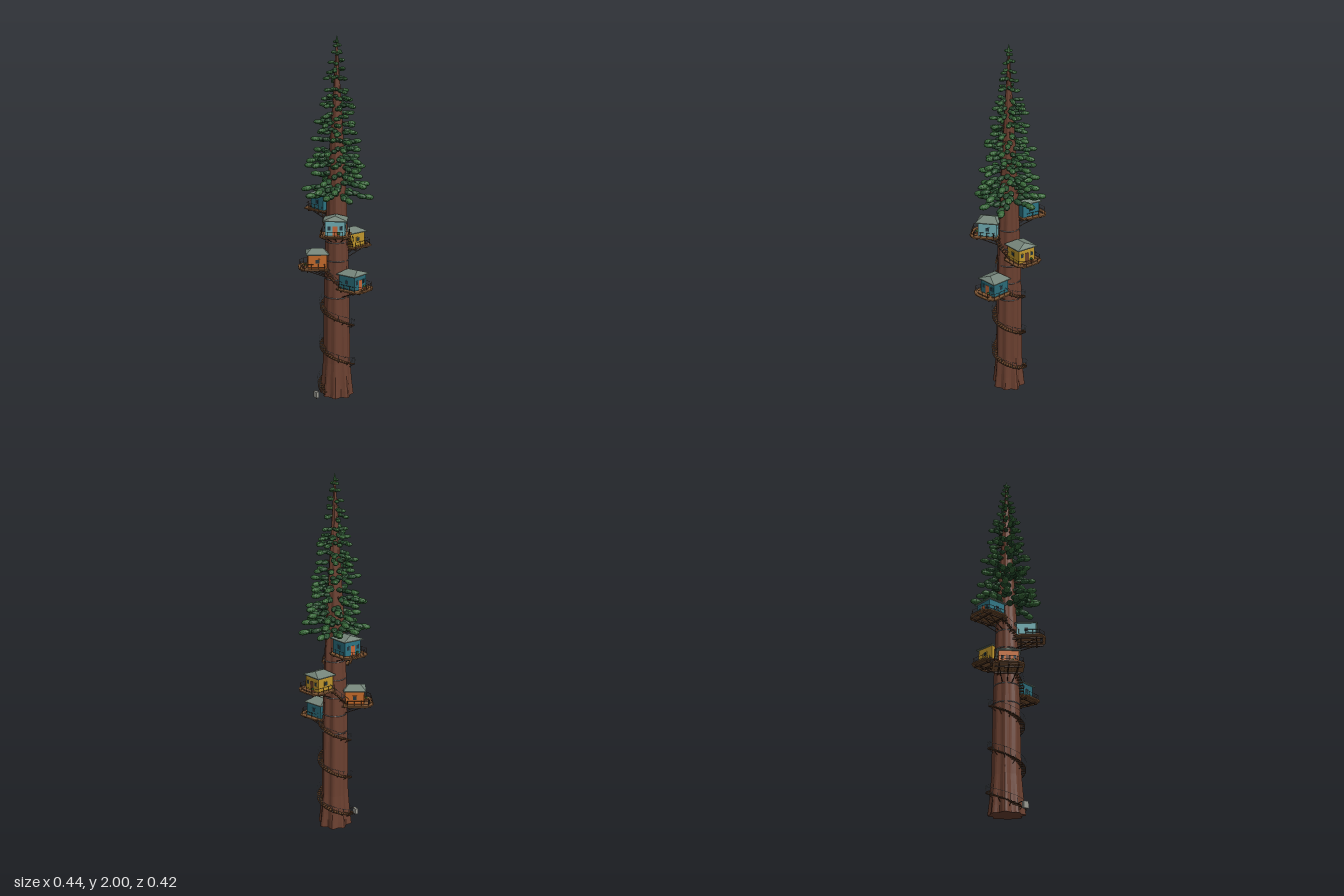
import * as THREE from 'three';
import { mergeGeometries } from 'three/addons/utils/BufferGeometryUtils.js';

const V = (x, y, z) => new THREE.Vector3(x, y, z);
const WOOD = 0x7d5533, DARK = 0x4a3222, METAL = 0x6d7478;

// small seeded generator
let seed = 7;
const rnd = (a, b) => {
  seed = (seed * 16807) % 2147483647;
  return a + (b - a) * seed / 2147483647;
};

// join geometries of one colour into one named mesh
function part(name, color, geos) {
  const flat = geos.map(g => (g.index ? g.toNonIndexed() : g));
  const mat = new THREE.MeshStandardMaterial({ color, flatShading: true, side: THREE.DoubleSide });
  const mesh = new THREE.Mesh(mergeGeometries(flat), mat);
  mesh.name = name;
  return mesh;
}
const box = (w, h, d, x, y, z) => new THREE.BoxGeometry(w, h, d).translate(x, y, z);

function rod(a, b, r, sides = 5, rTop = r) {
  const d = b.clone().sub(a);
  const q = new THREE.Quaternion().setFromUnitVectors(V(0, 1, 0), d.clone().normalize());
  const m = a.clone().add(b).multiplyScalar(0.5);
  return new THREE.CylinderGeometry(rTop, r, d.length(), sides).applyQuaternion(q).translate(m.x, m.y, m.z);
}

// trunk radius by height
const PROFILE = [[0, 0.088], [0.08, 0.081], [0.2, 0.073], [0.6, 0.068], [0.9, 0.06],
  [1.2, 0.049], [1.5, 0.032], [1.8, 0.014], [2, 0.002]];
function trunkR(y) {
  const i = Math.max(1, PROFILE.findIndex(p => p[0] >= y));
  const [a, b] = [PROFILE[i - 1], PROFILE[i]];
  return THREE.MathUtils.mapLinear(y, a[0], b[0], a[1], b[1]);
}
const polar = (r, a, y) => V(r * Math.cos(a), y, r * Math.sin(a));

// fluted trunk with a flared root
function trunk() {
  const g = new THREE.CylinderGeometry(1, 1, 1.97, 48, 50).translate(0, 0.985, 0);
  const p = g.attributes.position;
  for (let i = 0; i < p.count; i++) {
    const y = Math.max(0, p.getY(i)), a = Math.atan2(p.getZ(i), p.getX(i));
    const len = Math.hypot(p.getX(i), p.getZ(i));
    const flute = 0.05 * Math.cos(8 * a + 0.6 * Math.sin(2 * y)) + 0.035 * Math.cos(5 * a + 1) +
      0.05 * Math.exp(-y * 9) * Math.cos(8 * a);
    const r = trunkR(y) * (1 + flute) * len;
    p.setXYZ(i, r * Math.cos(a), y, r * Math.sin(a));
  }
  return part('trunk', 0x6b4030, [g]);
}

// branches in tiers, each carrying a row of needle clumps
function crown() {
  const group = new THREE.Group();
  group.name = 'crown';
  const limbs = [], greens = [[], [], []];
  const clump = (pos, a, l, w, h, tilt, shade) => {
    const g = new THREE.IcosahedronGeometry(1, 1).scale(l, h, w).rotateZ(tilt).rotateY(-a);
    greens[shade].push(g.translate(pos.x, pos.y, pos.z));
  };
  const rows = 18;
  for (let i = 0; i < rows; i++) {
    const t = i / (rows - 1), count = t < 0.7 ? 7 : 5;
    for (let k = 0; k < count; k++) {
      const y = 1.165 + 0.79 * t + rnd(-0.014, 0.014);
      const a = (k / count) * Math.PI * 2 + i * 2.4 + rnd(-0.25, 0.25);
      const len = (0.014 + 0.188 * Math.pow(1 - t, 0.8)) * rnd(0.74, 1);
      const s = 0.5 + 0.5 * (1 - t);
      const tilt = rnd(-0.2, 0.08), r0 = trunkR(y) * 0.7;
      const tipR = Math.max(len - 0.025 * s, r0 + 0.006);
      const at = r => polar(r, a, y + (r - r0) * Math.tan(tilt));
      limbs.push(rod(at(r0), at(tipR), 0.006 * s, 5, 0.003 * s));
      // end clump, then staggered ones back toward the trunk
      clump(at(tipR), a, 0.032 * s, 0.019 * s, 0.016 * s, tilt, 2);
      for (let j = 1; j <= 3; j++) {
        const r = tipR - j * 0.036 * s;
        if (r < r0 + 0.012 * s) break;
        const side = (j + k) % 2 ? 1 : -1;
        const p = at(r).add(polar(0.012 * s * side, a + Math.PI / 2, rnd(-0.006, 0.008)));
        clump(p, a + side * 0.3, 0.031 * s, 0.018 * s, 0.015 * s, tilt, j === 1 ? 1 : 0);
      }
    }
  }
  limbs.push(new THREE.ConeGeometry(0.004, 0.05, 6).translate(0, 1.96, 0));
  greens[2].push(new THREE.ConeGeometry(0.011, 0.04, 6).translate(0, 1.98, 0));
  group.add(part('branches', 0x5a3828, limbs));
  [0x25492c, 0x2a5331, 0x376838].forEach((c, i) => group.add(part('needleClumps', c, greens[i])));
  return group;
}

// hipped roof with a short ridge along local x
function hipRoof(w, d, h) {
  const p = [[-w, 0, -d], [w, 0, -d], [w, 0, d], [-w, 0, d], [-w * 0.5, h, 0], [w * 0.5, h, 0]];
  const f = [3, 2, 5, 3, 5, 4, 1, 0, 4, 1, 4, 5, 2, 1, 5, 0, 3, 4, 0, 1, 2, 0, 2, 3];
  const g = new THREE.BufferGeometry();
  g.setAttribute('position', new THREE.Float32BufferAttribute(f.flatMap(i => p[i]), 3));
  g.setAttribute('uv', new THREE.Float32BufferAttribute(new Array(f.length * 2).fill(0), 2));
  g.computeVertexNormals();
  return g;
}

// one house with its deck; local +x points away from the trunk
function treehouse({ y, angle, wall, door }) {
  const group = new THREE.Group();
  group.name = 'treehouse';
  const cx = 0.11, R = trunkR(y - 0.06);
  group.add(part('walls', wall, [box(0.105, 0.078, 0.106, cx, 0.042, 0)]));
  group.add(part('roof', 0x75857a,
    [box(0.126, 0.005, 0.13, cx, 0.083, 0), hipRoof(0.063, 0.065, 0.022).translate(cx, 0.0855, 0)]));

  // windows and door
  const frames = [], panes = [];
  for (const s of [-1, 1]) {
    frames.push(box(0.026, 0.026, 0.004, cx, 0.045, s * 0.053));
    panes.push(box(0.02, 0.02, 0.006, cx, 0.045, s * 0.053));
    frames.push(box(0.004, 0.026, 0.022, 0.162, 0.045, s * 0.032));
    panes.push(box(0.006, 0.02, 0.016, 0.162, 0.045, s * 0.032));
  }
  group.add(part('windowFrames', wall, frames), part('windowPanes', 0x24343c, panes));
  group.add(part('door', door, [box(0.005, 0.052, 0.026, 0.1625, 0.03, 0)]));

  // deck planks and the walkway rim around them
  const deck = [];
  for (let i = 0; i < 8; i++) deck.push(box(0.138, 0.007, 0.0172, 0.118, 0, (i - 3.5) * 0.0178));
  const rim = [[0.07, -0.075], [0.182, -0.075], [0.203, -0.042], [0.207, 0.038], [0.184, 0.075], [0.07, 0.075]]
    .map(([x, z]) => V(x, 0.002, z));
  const posts = [];
  for (let i = 0; i < rim.length - 1; i++) {
    const a = rim[i], b = rim[i + 1], d = b.clone().sub(a), m = a.clone().add(b).multiplyScalar(0.5);
    deck.push(new THREE.BoxGeometry(d.length(), 0.007, 0.018)
      .rotateY(-Math.atan2(d.z, d.x)).translate(m.x, m.y, m.z));
    for (const h of [0.016, 0.034])
      posts.push(rod(a.clone().setY(h), b.clone().setY(h), 0.0009, 4));
    const n = Math.max(1, Math.round(d.length() / 0.04));
    for (let k = 0; k < n; k++) {
      const q = a.clone().lerp(b, k / n);
      posts.push(rod(q, q.clone().setY(0.036), 0.0015, 4));
    }
  }
  posts.push(rod(rim[5], rim[5].clone().setY(0.036), 0.0015, 4));
  group.add(part('deck', WOOD, deck), part('railing', DARK, posts));

  // joists and diagonal braces back to the trunk
  const frame = [];
  for (const z of [-0.05, 0, 0.05]) {
    frame.push(box(0.165, 0.007, 0.007, 0.118, -0.007, z));
    frame.push(rod(V(R * 0.85, -0.055, z * 0.5), V(0.165, -0.008, z), 0.0025));
  }
  frame.push(box(0.007, 0.007, 0.14, 0.165, -0.01, 0), box(0.007, 0.007, 0.14, 0.08, -0.01, 0));
  group.add(part('braces', DARK, frame));
  group.add(part('trunkCollar', METAL,
    [new THREE.TorusGeometry(R * 1.03, 0.0025, 5, 32).rotateX(Math.PI / 2).translate(0, -0.06, 0)]));

  // potted shrub on the deck corner
  group.add(part('planter', 0x8a4f32, [box(0.011, 0.012, 0.011, 0.176, 0.009, -0.02)]));
  group.add(part('shrub', 0x4f8a3c, [new THREE.IcosahedronGeometry(0.008, 0).translate(0.176, 0.02, -0.02)]));
  group.position.y = y;
  group.rotation.y = -angle;
  return group;
}

// winding stair, one flight per pair of angles and heights
function stairs(flights) {
  const treads = [], rails = [], stringers = [];
  for (const [a0, y0, a1, y1] of flights) {
    const n = Math.round((a1 - a0) / 0.15);
    let last = null;
    for (let i = 0; i <= n; i++) {
      const a = a0 + (a1 - a0) * i / n, y = y0 + (y1 - y0) * i / n, r = trunkR(y);
      treads.push(new THREE.BoxGeometry(0.034, 0.003, 0.013).translate(r + 0.01, y, 0).rotateY(-a));
      const low = polar(r + 0.026, a, y - 0.003), high = polar(r + 0.03, a, y + 0.034);
      if (i % 2 === 0) rails.push(rod(low, high, 0.0009, 4));
      if (i % 4 === 0) stringers.push(rod(polar(r * 0.95, a, y - 0.022), low, 0.0016, 4));
      if (last) {
        stringers.push(rod(last[0], low, 0.002, 4));
        rails.push(rod(last[1], high, 0.0009, 4));
      }
      last = [low, high];
    }
  }
  const group = new THREE.Group();
  group.name = 'spiralStair';
  group.add(part('treads', 0x68452b, treads), part('stairRailing', METAL, rails), part('stringers', DARK, stringers));
  return group;
}

export function createModel() {
  const model = new THREE.Group();
  model.name = 'treehouseTree';
  model.add(trunk(), crown());

  // houses climb the trunk: angle in degrees, wall and door colours
  const rad = THREE.MathUtils.degToRad, gap = rad(32), rise = 0.104;
  const houses = [[-12, 0x2a6b78, 0xc9683a], [126, 0xc46a2a, 0x6a4028], [265, 0xc0962c, 0x6a4028],
    [403, 0x6fadb3, 0xc9683a], [540, 0x2c7484, 0xc9683a]];
  const flights = [[rad(85), 0.03, rad(houses[0][0] + 1080) - gap, 0.64]];
  houses.forEach(([deg, wall, door], i) => {
    const y = 0.64 + rise * i, angle = rad(deg);
    model.add(treehouse({ y, angle, wall, door }));
    if (i < 4) flights.push([angle + gap, y, rad(houses[i + 1][0]) - gap, y + rise]);
  });
  model.add(stairs(flights));

  // post box at the foot with a bent pipe to the trunk
  model.add(part('groundBox', 0x9a9a92, [box(0.03, 0.034, 0.016, -0.005, 0.027, 0.148)]));
  const path = new THREE.CatmullRomCurve3([V(0, 0.04, 0.146), V(0, 0.048, 0.13), V(0, 0.05, 0.11), V(0, 0.035, 0.08)]);
  model.add(part('pipe', DARK, [new THREE.TubeGeometry(path, 10, 0.002, 5), rod(V(0, 0, 0.148), V(0, 0.012, 0.148), 0.003)]));
  return model;
}
